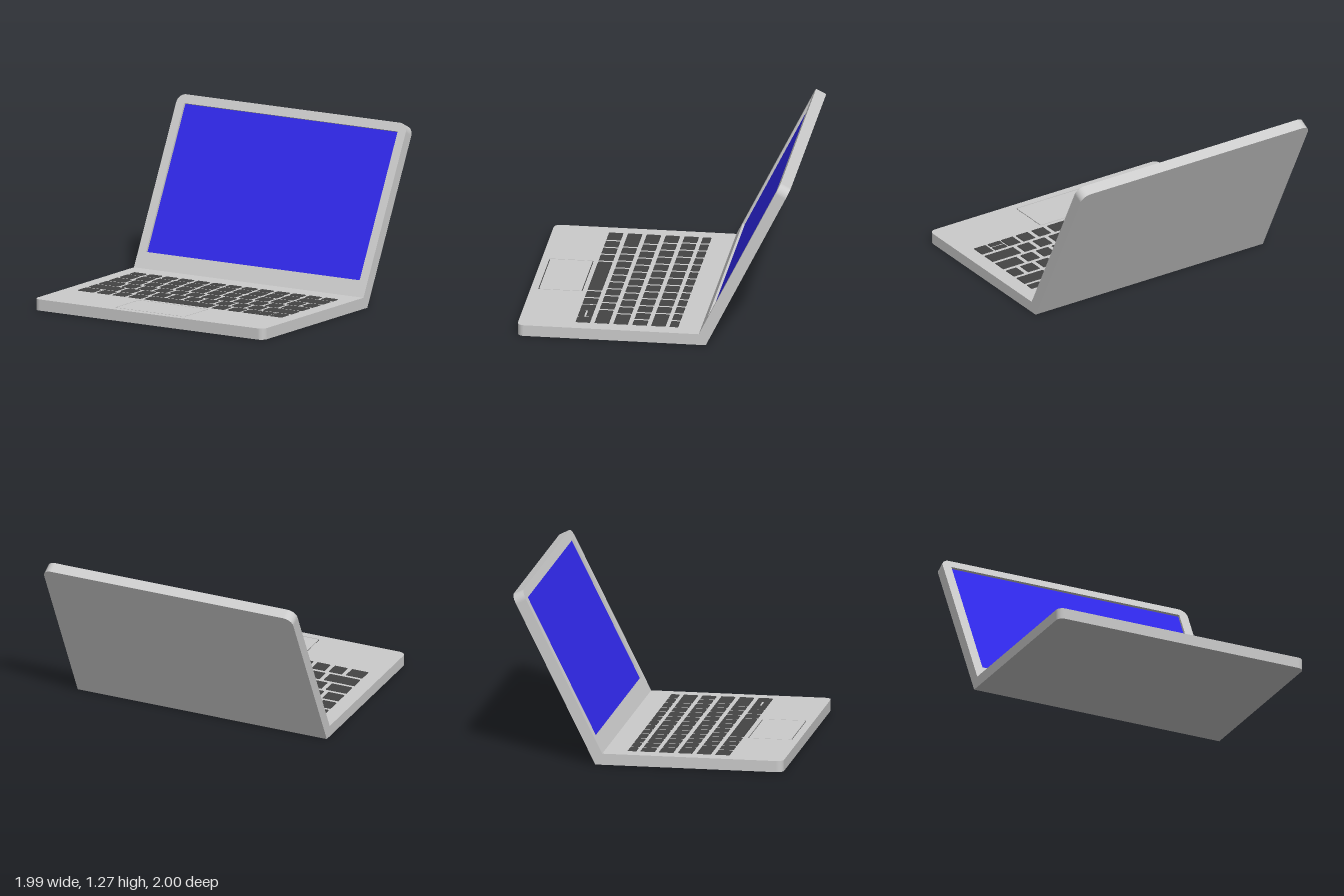
import * as THREE from 'three';

const HALF_W = 0.995, THICK = 0.083, HINGE_Z = -0.385;
const TILT = 0.4625;                                  // lid lean past vertical
const MITRE = Math.tan((Math.PI / 2 - TILT) / 2);     // slope of the joint between lid and base

const grey = new THREE.MeshStandardMaterial({ color: 0xcccccc });
const keyMat = new THREE.MeshStandardMaterial({ color: 0x444444 });
const grooveMat = new THREE.MeshStandardMaterial({ color: 0x333333 });
const screenMat = new THREE.MeshStandardMaterial({ color: 0x3028ea });

// Rectangle whose far (r) and near (rNear) corners are rounded
function roundedRect(x0, y0, x1, y1, r, rNear = r) {
  const s = new THREE.Shape();
  s.moveTo(x0 + rNear, y0).lineTo(x1 - rNear, y0);
  if (rNear) s.absarc(x1 - rNear, y0 + rNear, rNear, -Math.PI / 2, 0);
  s.lineTo(x1, y1 - r);
  s.absarc(x1 - r, y1 - r, r, 0, Math.PI / 2);
  s.lineTo(x0 + r, y1);
  s.absarc(x0 + r, y1 - r, r, Math.PI / 2, Math.PI);
  s.lineTo(x0, y0 + rNear);
  if (rNear) s.absarc(x0 + rNear, y0 + rNear, rNear, Math.PI, Math.PI * 1.5);
  return s;
}

function extrude(shape, z0, z1) {
  return new THREE.ExtrudeGeometry(shape, { depth: z1 - z0, bevelEnabled: false, curveSegments: 6 })
    .translate(0, 0, z0);
}

// Layer of a shell: hinge edge at y = 0 is slanted to meet the other half
function slab(length, radius, z0, z1, hole) {
  const shape = roundedRect(-HALF_W, 0, HALF_W, length, radius, 0);
  if (hole) shape.holes.push(hole);
  const geo = extrude(shape, z0, z1), p = geo.attributes.position;
  for (let i = 0; i < p.count; i++) {
    if (Math.abs(p.getY(i)) < 1e-6) p.setY(i, p.getZ(i) * MITRE);
  }
  geo.computeVertexNormals();
  return geo;
}

function add(parent, name, geo, mat) {
  const mesh = new THREE.Mesh(geo, mat);
  mesh.name = name;
  parent.add(mesh);
  return mesh;
}

// Key with sides tapering to a smaller top
function addKey(parent, x0, x1, z0, z1) {
  const w = x1 - x0, d = z1 - z0, inset = 0.007;
  const geo = new THREE.BoxGeometry(w, 0.012, d).toNonIndexed(), p = geo.attributes.position;
  for (let i = 0; i < p.count; i++) {
    if (p.getY(i) > 0) {
      p.setX(i, p.getX(i) * (1 - 2 * inset / w));
      p.setZ(i, p.getZ(i) * (1 - 2 * inset / d));
    }
  }
  geo.computeVertexNormals();
  add(parent, 'key', geo, keyMat).position.set((x0 + x1) / 2, 0.084, (z0 + z1) / 2);
}

// Row of keys with relative widths, scaled to fill x0..x1
function addRow(parent, x0, x1, z0, z1, widths) {
  const gap = 0.027;
  const unit = (x1 - x0 - gap * (widths.length - 1)) / widths.reduce((a, b) => a + b, 0);
  let x = x0;
  for (const w of widths) {
    addKey(parent, x, x + w * unit, z0, z1);
    x += w * unit + gap;
  }
}

export function createModel() {
  const model = new THREE.Group();
  model.name = 'laptop';

  // Base: solid floor and a top plate with the touchpad opening
  const base = new THREE.Group();
  base.name = 'base';
  model.add(base);
  const toBase = g => g.rotateX(-Math.PI / 2).rotateY(Math.PI).translate(0, 0, HINGE_Z);
  const floor = THICK - 0.008;
  const pad = [-0.275, 1.005, 0.33, 1.33], g = 0.007;
  add(base, 'baseShell', toBase(slab(1.385, 0.05, 0, floor)), grey);
  add(base, 'basePlate', toBase(slab(1.385, 0.05, floor, THICK, roundedRect(...pad, 0.014))), grey);
  add(base, 'touchpadGroove', toBase(extrude(roundedRect(...pad, 0.014), floor - 0.002, floor + 0.002)), grooveMat);
  add(base, 'touchpad', toBase(extrude(
    roundedRect(pad[0] + g, pad[1] + g, pad[2] - g, pad[3] - g, 0.008), floor, THICK)), grey);

  // Keyboard rows, back to front
  const keyboard = new THREE.Group();
  keyboard.name = 'keyboard';
  base.add(keyboard);
  const L = -0.885, R = 0.885, ones = n => Array(n).fill(1);
  addRow(keyboard, L, R, -0.17, -0.1, ones(13));
  addRow(keyboard, L, R, -0.077, 0.035, [...ones(11), 2.1]);
  addRow(keyboard, L, R, 0.061, 0.173, [1.22, ...ones(11), 0.88]);
  addRow(keyboard, L, R, 0.2, 0.312, [1.55, ...ones(10), 1.72]);
  addRow(keyboard, L, R, 0.338, 0.45, [2.28, ...ones(9), 2.32]);
  addRow(keyboard, L, 0.52, 0.477, 0.589, [1.25, 1, 1, 1, 5.05, 1, 1]);
  // Arrow keys, the middle pair stacked
  addKey(keyboard, 0.54, 0.65, 0.477, 0.589);
  addKey(keyboard, 0.655, 0.767, 0.477, 0.529);
  addKey(keyboard, 0.655, 0.767, 0.537, 0.589);
  addKey(keyboard, 0.778, R, 0.477, 0.589);

  // Lid: back panel, bezel frame and recessed screen
  const lid = new THREE.Group();
  lid.name = 'lid';
  lid.position.z = HINGE_Z;
  lid.rotation.x = -TILT;
  model.add(lid);
  const back = THICK - 0.018;
  const opening = new THREE.Path([[-0.925, 0.177], [0.925, 0.177], [0.925, 1.311], [-0.925, 1.311]]
    .map(([x, y]) => new THREE.Vector2(x, y))).closePath();
  add(lid, 'lidShell', slab(1.379, 0.068, 0, back), grey);
  add(lid, 'bezel', slab(1.379, 0.068, back, THICK, opening), grey);
  add(lid, 'screen', new THREE.PlaneGeometry(1.85, 1.134), screenMat).position.set(0, 0.744, back + 0.001);

  return model;
}
